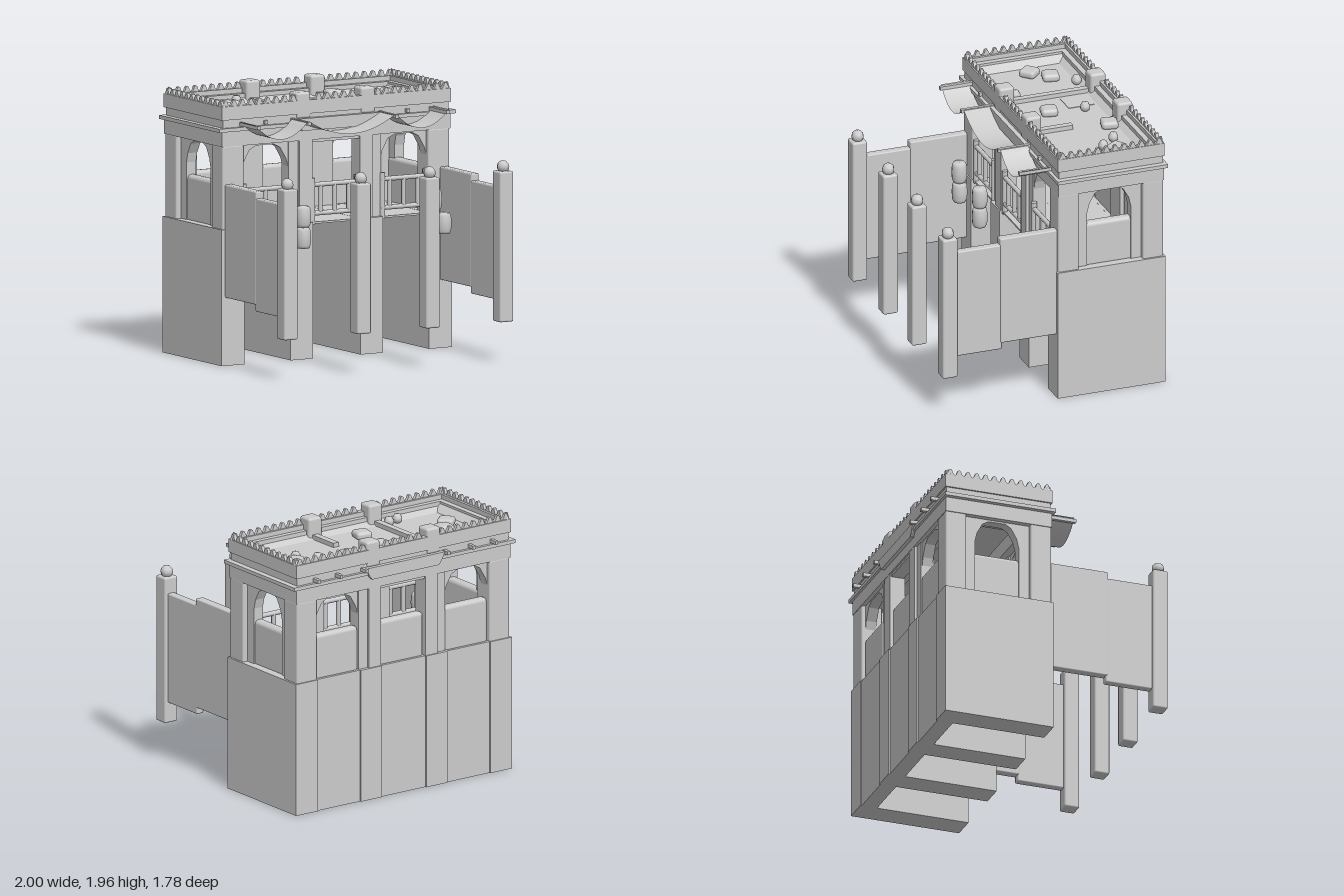
import * as THREE from 'three';
import { RoundedBoxGeometry } from 'three/addons/geometries/RoundedBoxGeometry.js';

const mat = new THREE.MeshStandardMaterial({ color: 0xcccccc });
const thin = new THREE.MeshStandardMaterial({ color: 0xcccccc, side: THREE.DoubleSide });

export function createModel() {
  const root = new THREE.Group();
  root.name = 'fortifiedGatehouse';
  const hall = new THREE.Group(); // main block, centred on its own plan
  hall.name = 'hall';
  hall.position.z = -0.42;
  root.add(hall);

  const add = (parent, name, geo, x = 0, y = 0, z = 0, m = mat) => {
    const mesh = new THREE.Mesh(geo, m);
    mesh.name = name;
    mesh.position.set(x, y, z);
    parent.add(mesh);
    return mesh;
  };
  // box given by its extents
  const box = (parent, name, x0, x1, y0, y1, z0, z1) =>
    add(parent, name, new THREE.BoxGeometry(x1 - x0, y1 - y0, z1 - z0), (x0 + x1) / 2, (y0 + y1) / 2, (z0 + z1) / 2);
  const rounded = (parent, name, x0, x1, y0, y1, z0, z1, r) =>
    add(parent, name, new RoundedBoxGeometry(x1 - x0, y1 - y0, z1 - z0, 2, r), (x0 + x1) / 2, (y0 + y1) / 2, (z0 + z1) / 2);
  const rod = (parent, name, r, a, b, sides = 10) => {
    const p = new THREE.Vector3(...a), q = new THREE.Vector3(...b);
    const mesh = add(parent, name, new THREE.CylinderGeometry(r, r, p.distanceTo(q), sides));
    mesh.position.copy(p).lerp(q, 0.5);
    mesh.quaternion.setFromUnitVectors(new THREE.Vector3(0, 1, 0), q.sub(p).normalize());
    return mesh;
  };
  const polygon = pts => pts.map(p => new THREE.Vector2(...p));
  const rect = (w, d) => polygon([[-w, -d], [w, -d], [w, d], [-w, d]]);
  // rectangular ring: outer half sizes, wall thickness, height range
  const ring = (name, w, d, t, y0, y1) => {
    const s = new THREE.Shape(rect(w, d));
    s.holes.push(new THREE.Path(rect(w - t, d - t)));
    const g = new THREE.ExtrudeGeometry(s, { depth: y1 - y0, bevelEnabled: false });
    g.rotateX(-Math.PI / 2);
    return add(hall, name, g, 0, y0, 0);
  };
  const both = [-1, 1];

  // Lower walls: four deep piers, closed at the back
  const piers = [[-0.975, -0.78], [-0.39, -0.2], [0.2, 0.39], [0.78, 0.975]];
  const bays = [[-0.78, -0.39], [-0.2, 0.2], [0.39, 0.78]];
  for (const [a, b] of piers) box(hall, 'basePier', a, b, 0, 1, -0.42, 0.42);
  for (const [a, b] of bays) {
    box(hall, 'baseBackWall', a, b, 0, 1, -0.41, -0.29);
    box(hall, 'galleryFloor', a, b, 0.985, 0.999, -0.405, 0.4);
    rounded(hall, 'backParapet', a, b, 0.98, 1.33, -0.39, -0.31, 0.03);
  }

  // Upper pillars
  for (const sz of both) for (const sx of both) {
    const c = sx * 0.87, z = sz * 0.33;
    rounded(hall, 'cornerPillar', c - 0.09, c + 0.09, 0.99, 1.61, z - 0.08, z + 0.08, 0.012);
    const i = sx * 0.255, j = sx * 0.35;
    box(hall, 'innerPillar', i - 0.055, i + 0.055, 1, 1.69, sz * 0.35 - 0.06, sz * 0.35 + 0.06);
    box(hall, 'pillarJamb', j - 0.04, j + 0.04, 1, 1.61, sz * 0.34 - 0.05, sz * 0.34 + 0.05);
  }

  // Arched panels: half widths of the panel and its opening
  const arch = (hw, ho, spring) => {
    const s = new THREE.Shape(polygon([[-hw, 1], [-ho, 1], [-ho, spring], [-ho * 0.9, spring + 0.07],
      [-ho * 0.65, 1.565], [-ho * 0.38, 1.592], [ho * 0.38, 1.592], [ho * 0.65, 1.565], [ho * 0.9, spring + 0.07],
      [ho, spring], [ho, 1], [hw, 1], [hw, 1.62], [-hw, 1.62]]));
    return new THREE.ExtrudeGeometry(s, { depth: 0.08, bevelEnabled: false }).translate(0, 0, -0.04);
  };
  for (const sx of both) {
    for (const sz of both) add(hall, 'bayArch', arch(0.21, 0.198, 1.41), sx * 0.585, 0, sz * 0.34);
    add(hall, 'sideArch', arch(0.27, 0.17, 1.42), sx * 0.88, 0, 0).rotation.y = Math.PI / 2;
    rounded(hall, 'sideParapet', sx * 0.87 - 0.04, sx * 0.87 + 0.04, 0.98, 1.33, -0.26, 0.26, 0.03);
  }

  // Front railings
  for (const [a, b] of bays) {
    const z = 0.385, c = (a + b) / 2;
    for (const y of [1.06, 1.27]) rod(hall, 'rail', 0.018, [a, y, z], [b, y, z]);
    for (const dx of [-0.12, 0, 0.12]) rod(hall, 'baluster', 0.018, [c + dx, 1.06, z], [c + dx, 1.27, z], 8);
    for (const x of [a + 0.012, b - 0.012]) rod(hall, 'railPost', 0.022, [x, 0.98, z], [x, 1.32, z], 8);
  }

  // Entablature, ledge and stepped parapet
  ring('entablature', 0.965, 0.412, 0.17, 1.605, 1.72);
  ring('ledge', 1, 0.43, 0.14, 1.715, 1.742);
  ring('lowerParapet', 0.955, 0.405, 0.06, 1.74, 1.805);
  ring('upperParapet', 0.968, 0.415, 0.05, 1.8, 1.9);
  ring('parapetStep', 0.93, 0.38, 0.055, 1.78, 1.865);
  box(hall, 'roofFloor', -0.9, 0.9, 1.785, 1.802, -0.36, 0.36);

  // Sloped coving between the parapet and the roof floor
  const coving = new THREE.CylinderGeometry(1, 0.9, 0.045, 4, 1, true, Math.PI / 4).toNonIndexed();
  const cp = coving.attributes.position;
  for (let i = 0; i < cp.count; i++) {
    const top = cp.getY(i) > 0;
    cp.setX(i, Math.sign(cp.getX(i)) * (top ? 0.875 : 0.815));
    cp.setZ(i, Math.sign(cp.getZ(i)) * (top ? 0.345 : 0.28));
  }
  coving.computeVertexNormals();
  add(hall, 'coving', coving, 0, 1.8245, 0, thin);

  for (const sz of both) {
    box(hall, 'centreLintel', -0.21, 0.21, 1.585, 1.7, sz * 0.35 - 0.05, sz * 0.35 + 0.05);
    // swept-out tray under the two large merlons
    const tray = new THREE.Shape(polygon([[-0.3, 1.68], [0.3, 1.68], [0.325, 1.71], [0.355, 1.77], [-0.355, 1.77], [-0.325, 1.71]]));
    add(hall, 'centreMoulding', new THREE.ExtrudeGeometry(tray, { depth: 0.07, bevelEnabled: false }), 0, 0, sz * 0.405 - 0.035);
    for (const x of [-0.275, 0.27]) rounded(hall, 'largeMerlon', x - 0.06, x + 0.06, 1.765, 1.96, sz * 0.355 - 0.06, sz * 0.355 + 0.06, 0.02);
  }

  // Small pointed merlons along the parapet
  const point = new THREE.ExtrudeGeometry(new THREE.Shape(polygon([[-0.034, 0], [0.034, 0], [0.02, 0.018],
    [0.011, 0.042], [0, 0.048], [-0.011, 0.042], [-0.02, 0.018]])), { depth: 0.025, bevelEnabled: false }).translate(0, 0, -0.0125);
  for (const s of both) {
    for (let i = 0; i < 27; i++) {
      const x = -0.93 + (i * 1.86) / 26;
      if (Math.abs(Math.abs(x) - 0.27) > 0.07) add(hall, 'pointedMerlon', point, x, 1.897, s * 0.393);
    }
    for (let i = 0; i < 12; i++)
      add(hall, 'pointedMerlon', point, s * 0.95, 1.897, -0.375 + (i * 0.75) / 11).rotation.y = Math.PI / 2;
    for (const t of both) add(hall, 'cornerPoint', new THREE.ConeGeometry(0.026, 0.055, 6), s * 0.945, 1.925, t * 0.388);
  }

  // Beam ends; four at the front carry the awning
  for (const x of [-0.8, -0.6, -0.37, 0.37, 0.6, 0.8]) {
    box(root, 'backBeamEnd', x - 0.013, x + 0.013, 1.75, 1.776, -0.89, -0.79);
    box(root, 'awningPole', x - 0.013, x + 0.013, 1.75, 1.776, -0.05, Math.abs(x) === 0.6 ? 0.01 : 0.237);
  }

  // Awning cloth sagging between the poles
  const spans = [-0.82, -0.37, 0.37, 0.82];
  const cloth = new THREE.PlaneGeometry(1.64, 0.22, 48, 2).rotateX(-Math.PI / 2);
  const pos = cloth.attributes.position;
  for (let i = 0; i < pos.count; i++) {
    const x = pos.getX(i), k = x < -0.37 ? 0 : x < 0.37 ? 1 : 2;
    const t = (x - spans[k]) / (spans[k + 1] - spans[k]);
    pos.setY(i, 1.782 - 0.12 * 4 * t * (1 - t));
  }
  cloth.computeVertexNormals();
  add(root, 'awning', cloth, 0, 0, 0.11, thin);

  // Roof beams, the right one broken
  box(hall, 'roofBeam', -0.31, -0.26, 1.8, 1.835, -0.35, 0.35);
  box(hall, 'brokenBeam', 0.25, 0.3, 1.8, 1.835, 0.04, 0.35);
  box(hall, 'brokenBeam', 0.25, 0.3, 1.8, 1.835, -0.35, -0.27);
  box(hall, 'hatch', -0.23, -0.05, 1.8, 1.806, -0.26, -0.06);

  // Sacks and pots on the roof: x, z, turn
  for (const [x, z, a] of [[-0.58, -0.54, -0.2], [-0.69, -0.42, 0.75], [-0.01, -0.31, -0.2], [0.35, -0.64, -0.2], [0.77, -0.54, 0.6]])
    add(root, 'sack', new RoundedBoxGeometry(0.125, 0.06, 0.125, 2, 0.025), x, 1.83, z).rotation.y = a;
  const pot = new THREE.LatheGeometry(polygon([[0, 0], [0.024, 0], [0.037, 0.02], [0.037, 0.04], [0.026, 0.056],
    [0.024, 0.064], [0, 0.066]]), 10);
  for (const [x, z] of [[-0.44, -0.69], [0.02, -0.58], [0.59, -0.58], [0.7, -0.46], [-0.44, -0.16], [-0.35, -0.18]])
    add(root, 'pot', pot, x, 1.802, z);

  // Hanging lanterns below the awning: x, bottom, z
  const lantern = new THREE.LatheGeometry(polygon([[0, 0], [0.044, 0.004], [0.054, 0.025], [0.058, 0.08],
    [0.054, 0.135], [0.044, 0.156], [0, 0.16]]), 14);
  for (const [x, y, z] of [[-0.805, 0.83, 0.08], [-0.81, 0.985, 0.08], [-0.345, 0.83, 0.1], [-0.345, 0.985, 0.1],
    [0.797, 0.865, 0.18], [0.802, 1.02, 0.035]]) add(root, 'lantern', lantern, x, y, z);

  // Forecourt posts with ball tops, and stepped side walls
  for (const x of [-0.915, -0.295, 0.288, 0.91]) {
    rounded(root, 'forecourtPost', x - 0.058, x + 0.058, 0.295, 1.4, 0.775, 0.89, 0.014);
    add(root, 'postBall', new THREE.SphereGeometry(0.047, 8, 6), x, 1.43, 0.832);
  }
  for (const s of both) {
    const x = s * 0.91;
    rounded(root, 'innerSideWall', x - 0.034, x + 0.034, 0.5, 1.33, -0.01, 0.435, 0.01);
    rounded(root, 'outerSideWall', x - 0.031, x + 0.031, 0.45, 1.28, 0.42, 0.785, 0.01);
  }
  return root;
}
